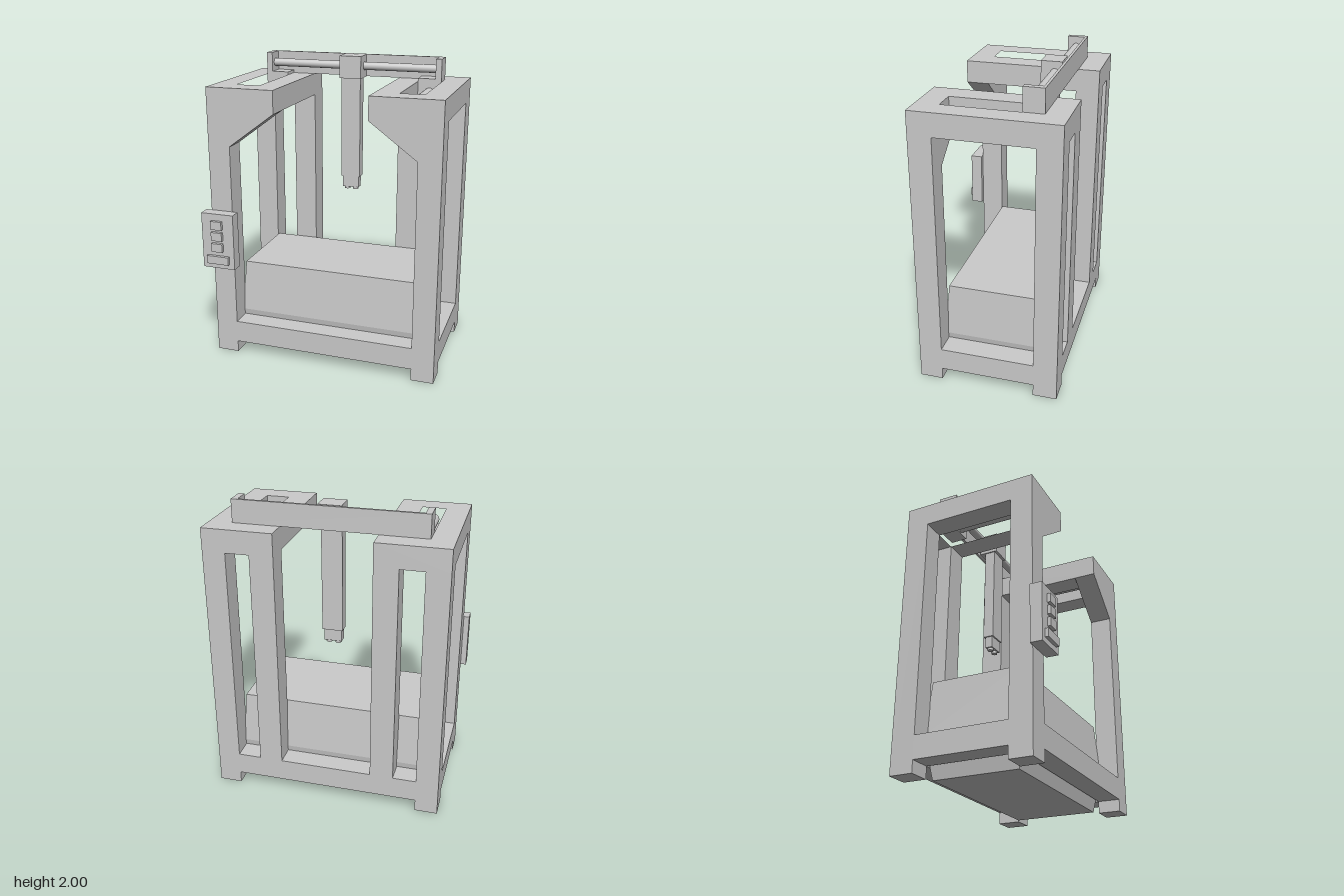
import * as THREE from 'three';

const MID = 0.0175; // x of the machine's symmetry plane
const grey = new THREE.MeshStandardMaterial({ color: 0xcccccc });

export function createModel() {
  const model = new THREE.Group();
  model.name = 'gantryMachine';
  const machine = new THREE.Group();
  machine.name = 'machine';
  machine.position.x = MID;
  model.add(machine);

  const add = (name, geometry, parent = machine) => {
    const mesh = new THREE.Mesh(geometry, grey);
    mesh.name = name;
    parent.add(mesh);
    return mesh;
  };
  // Box given by its limits on each axis
  const box = (name, x0, x1, y0, y1, z0, z1, parent) => {
    const g = new THREE.BoxGeometry(Math.abs(x1 - x0), y1 - y0, z1 - z0);
    g.translate((x0 + x1) / 2, (y0 + y1) / 2, (z0 + z1) / 2);
    return add(name, g, parent);
  };
  const polygon = (points) => new THREE.Shape(points.map(([x, y]) => new THREE.Vector2(x, y)));
  const extrude = (shape, depth) => new THREE.ExtrudeGeometry(shape, { depth, bevelEnabled: false });

  // Frame limits: outer and inner faces of the posts
  const XO = 0.7675, XI = 0.6175, ZF = 0.41, ZFI = 0.26, ZB = -0.51, ZBI = -0.355;
  const X1 = 0.4625, X2 = 0.3075; // inner back posts

  // Bottom rails
  box('frontRail', -XI, XI, 0.08, 0.23, ZFI, ZF);
  box('backRail', -XI, XI, 0.08, 0.23, ZB, ZBI);

  for (const s of [-1, 1]) {
    const side = s < 0 ? 'right' : 'left';

    // Posts standing on their feet, and the side rail
    box(side + 'FrontPost', s * XI, s * XO, 0, 1.7, ZFI, ZF);
    box(side + 'BackPost', s * XI, s * XO, 0, 1.7, ZB, ZBI);
    box(side + 'InnerBackPost', s * X2, s * X1, 0.23, 1.7, ZB, ZBI);
    box(side + 'SideRail', s * XI, s * XO, 0.08, 0.23, ZBI, ZFI);

    // Slotted top plate
    const plate = polygon([[s * X2, -ZF], [s * XO, -ZF], [s * XO, -ZB], [s * X2, -ZB]]);
    plate.holes.push(polygon([[s * X1, -ZFI], [s * XI, -ZFI], [s * XI, -ZBI], [s * X1, -ZBI]]));
    add(side + 'TopPlate', extrude(plate, 0.15).rotateX(-Math.PI / 2).translate(0, 1.7, 0));

    // Sloping front brace
    const brace = polygon([[s * XI, 1.47], [s * XI, 1.7], [s * X2, 1.7]]);
    add(side + 'FrontBrace', extrude(brace, ZF - ZFI).translate(0, 0, ZFI));

    // Guide rod in the slot with the slider riding on it
    const rod = new THREE.CylinderGeometry(0.035, 0.035, ZFI - ZBI, 32).rotateX(Math.PI / 2);
    add(side + 'GuideRod', rod.translate(s * 0.54, 1.775, (ZFI + ZBI) / 2));
    box(side + 'Slider', s * X1, s * XI, 1.73, 1.87, -0.35, -0.235);
    box(side + 'GantryEnd', s * 0.578, s * XI, 1.85, 2, -0.35, -0.235);
  }

  // Gantry beam and cross rod
  box('gantryBeam', -XI, XI, 1.85, 2, -0.367, -0.35);
  const crossRod = new THREE.CylinderGeometry(0.027, 0.027, 1.156, 32).rotateZ(Math.PI / 2);
  add('crossRod', crossRod.translate(0, 1.928, -0.293));

  // Carriage, column and nozzles
  box('carriage', -0.075, 0.075, 1.85, 2, -0.34, -0.205);
  box('toolColumn', -0.067, 0.067, 1.16, 1.85, -0.3, -0.225);
  box('toolHead', -0.058, 0.058, 1.08, 1.16, -0.288, -0.235);
  for (const s of [-1, 1]) {
    const nozzle = new THREE.CylinderGeometry(0.02, 0.02, 0.017, 24);
    add('nozzle', nozzle.translate(s * 0.03, 1.0715, -0.262));
  }

  // Bed: widest at its waist, tapering up and down
  const levels = [[0, 0.577, 0.285], [0.27, 0.627, 0.33], [0.62, 0.605, 0.3]]; // y, half x, half z
  const bed = new THREE.BoxGeometry(2, 2, 2, 1, 2, 1).toNonIndexed();
  const p = bed.attributes.position;
  for (let i = 0; i < p.count; i++) {
    const [y, hx, hz] = levels[Math.round(p.getY(i)) + 1];
    p.setXYZ(i, p.getX(i) * hx, y, p.getZ(i) * hz - 0.05);
  }
  bed.computeVertexNormals();
  add('bed', bed);

  // Control panel on the right front post
  const panel = new THREE.Group();
  panel.name = 'controlPanel';
  model.add(panel);
  box('panelBody', -0.788, -0.562, 0.65, 1.03, ZF, 0.488, panel);
  for (const y of [0.955, 0.878, 0.8]) {
    box('button', -0.715, -0.638, y - 0.029, y + 0.029, 0.488, 0.51, panel);
  }
  box('wideButton', -0.752, -0.598, 0.685, 0.74, 0.488, 0.51, panel);

  return model;
}
